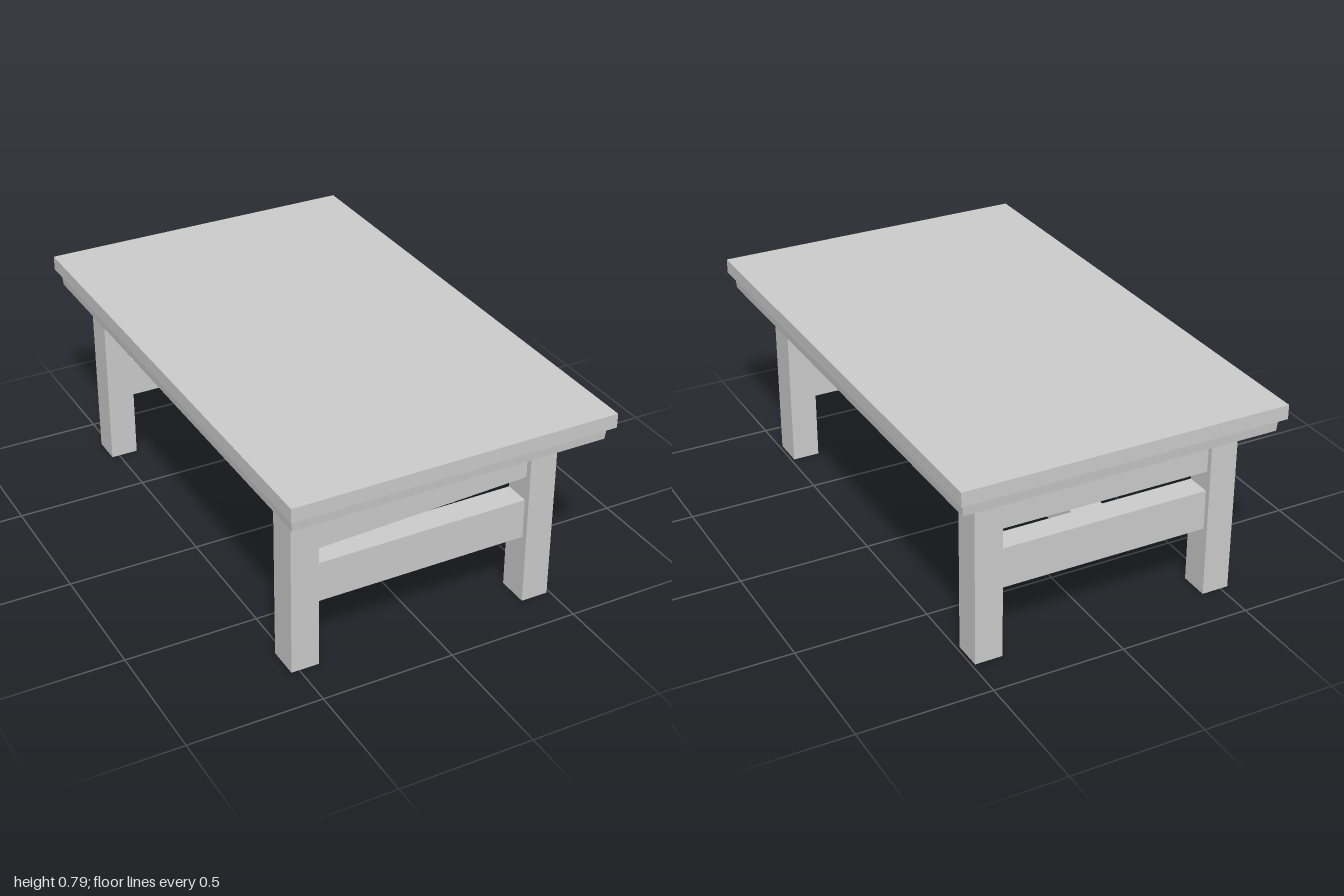
import * as THREE from 'three';

export function createModel() {
  const table = new THREE.Group();
  table.name = 'table';
  const material = new THREE.MeshStandardMaterial({ color: 0xcccccc, flatShading: true });

  // Box given by its extents; an optional rule moves its vertices
  function block(name, [x0, x1], [y0, y1], [z0, z1], rule) {
    const geometry = new THREE.BoxGeometry(x1 - x0, y1 - y0, z1 - z0);
    geometry.translate((x0 + x1) / 2, (y0 + y1) / 2, (z0 + z1) / 2);
    if (rule) {
      const pos = geometry.attributes.position;
      const v = new THREE.Vector3();
      for (let i = 0; i < pos.count; i++) {
        rule(v.fromBufferAttribute(pos, i));
        pos.setXYZ(i, v.x, v.y, v.z);
      }
      geometry.computeVertexNormals();
    }
    const mesh = new THREE.Mesh(geometry, material);
    mesh.name = name;
    table.add(mesh);
  }

  // Table top, with a slightly tapered slab under it
  block('tableTop', [-0.615, 0.615], [0.736, 0.79], [-1, 1]);
  block('underTop', [-0.6, 0.598], [0.68, 0.736], [-0.971, 0.971], (v) => {
    if (v.y < 0.7) {
      v.x -= Math.sign(v.x) * 0.005;
      v.z -= Math.sign(v.z) * 0.005;
    }
  });

  // Legs: the front right one sits a little further in
  const rightX = [-0.53, -0.425], leftX = [0.383, 0.488], legY = [0, 0.68];
  block('frontLeftLeg', leftX, legY, [0.726, 0.849]);
  block('frontRightLeg', rightX, legY, [0.705, 0.828]);
  block('backLeftLeg', leftX, legY, [-0.843, -0.728]);
  block('backRightLeg', rightX, legY, [-0.843, -0.728]);

  // End rails between the legs; the upper front one slopes
  const railX = [-0.425, 0.383], lowY = [0.262, 0.416], highY = [0.493, 0.645];
  const frontZ = [0.727, 0.826], backZ = [-0.823, -0.728];
  block('frontLowerRail', railX, lowY, frontZ);
  block('backLowerRail', railX, lowY, backZ);
  block('backUpperRail', railX, highY, backZ);
  block('frontUpperRail', railX, highY, frontZ, (v) => { v.y += 0.043 * (v.x + 0.021); });

  // Long stretchers along the middle
  for (const [name, y] of [['lowerStretcher', [0.288, 0.398]], ['upperStretcher', [0.516, 0.623]]]) {
    block(name, [-0.08, 0.043], y, [-0.728, 0.727]);
  }
  return table;
}
